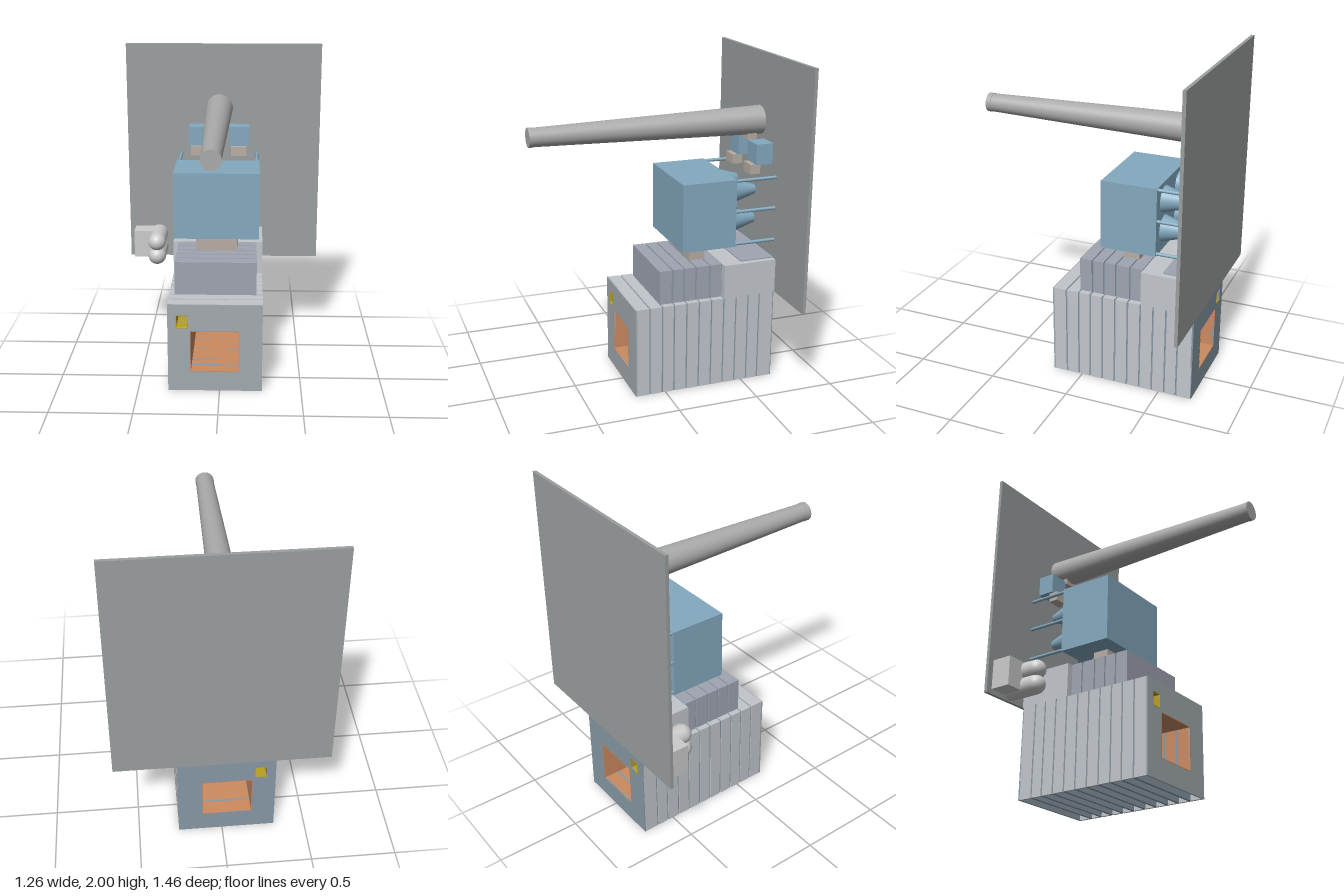
import * as THREE from 'three';

const mat = (color) => new THREE.MeshStandardMaterial({ color, side: THREE.DoubleSide });
const STEEL = mat(0xa3abb0), PALE = mat(0xc2c6cc), GROOVE = mat(0x8799a5), FIN = mat(0xa0a5b2);
const BLUE = mat(0x84a9bf), TAN = mat(0xb8aea4), PANEL = mat(0x9b9f9f), BARREL = mat(0xaaaaaa);
const COPPER = mat(0xcc8a60), YELLOW = mat(0xb8a022), WHITE = mat(0xcccccc);

export function createModel() {
  const root = new THREE.Group();
  const add = (name, geometry, material, x = 0, y = 0, z = 0) => {
    const mesh = new THREE.Mesh(geometry, material);
    mesh.name = name;
    mesh.position.set(x, y, z);
    root.add(mesh);
    return mesh;
  };
  // Box given by its limits on each axis
  const box = (name, material, x0, x1, y0, y1, z0, z1) =>
    add(name, new THREE.BoxGeometry(x1 - x0, y1 - y0, z1 - z0), material,
      (x0 + x1) / 2, (y0 + y1) / 2, (z0 + z1) / 2);
  // Round part lying along z
  const round = (name, material, rFront, rBack, x, y, z0, z1, sides = 32) =>
    add(name, new THREE.CylinderGeometry(rFront, rBack, z1 - z0, sides).rotateX(Math.PI / 2),
      material, x, y, (z0 + z1) / 2);
  const rect = (Type, x0, x1, y0, y1) => new Type([[x0, y0], [x1, y0], [x1, y1], [x0, y1]]
    .map(([x, y]) => new THREE.Vector2(x, y)));

  const L = -0.315, R = 0.26, MID = -0.028;
  const duct = [-0.175, 0.115, 0.13, 0.39], vent = [-0.26, -0.195, 0.415, 0.49];

  // Back panel
  box('backPanel', PANEL, -0.63, 0.63, 0.565, 2, -0.73, -0.71);

  // Lower housing: pierced plates joined by arched shells, open underneath
  const plate = (name, material, inset, z, depth) => {
    const shape = rect(THREE.Shape, L + inset, R - inset, 0, 0.565 - inset);
    shape.holes.push(rect(THREE.Path, ...duct), rect(THREE.Path, ...vent));
    add(name, new THREE.ExtrudeGeometry(shape, { depth, bevelEnabled: false }), material, 0, 0, z);
  };
  const cuts = [0.19, 0.1, 0.02, -0.055, -0.135, -0.215, -0.295, -0.375, -0.455, -0.535, -0.61, -0.705];
  const arch = new THREE.Shape([[L, 0], [L + 0.015, 0], [L + 0.015, 0.55], [R - 0.015, 0.55],
    [R - 0.015, 0], [R, 0], [R, 0.565], [L, 0.565]].map(([x, y]) => new THREE.Vector2(x, y)));
  for (let i = 0; i < cuts.length - 1; i++) {
    const depth = cuts[i] - cuts[i + 1] - 0.01;
    add('housingShell', new THREE.ExtrudeGeometry(arch, { depth, bevelEnabled: false }), PALE,
      0, 0, cuts[i + 1] + 0.005);
    if (i > 0) plate('housingRib', GROOVE, 0.006, cuts[i] - 0.008, 0.016);
  }
  plate('frontPlate', STEEL, 0, 0.18, 0.01);
  plate('rearPlate', GROOVE, 0, -0.705, 0.01);

  // Liners of the two passages
  const liner = (name, material, [x0, x1, y0, y1]) => {
    const shape = rect(THREE.Shape, x0 - 0.004, x1 + 0.004, y0 - 0.004, y1 + 0.004);
    shape.holes.push(rect(THREE.Path, x0, x1, y0, y1));
    add(name, new THREE.ExtrudeGeometry(shape, { depth: 0.896, bevelEnabled: false }), material, 0, 0, -0.7055);
  };
  liner('ductLiner', COPPER, duct);
  liner('ventLiner', YELLOW, vent);

  // Finned upper block and the solid block behind it
  box('finCore', GROOVE, -0.272, 0.214, 0.565, 0.768, -0.375, 0.015);
  const fins = [0.025, -0.055, -0.13, -0.205, -0.295, -0.375];
  for (let i = 0; i < 5; i++)
    box('coolingFin', FIN, -0.28, 0.222, 0.565, 0.775, fins[i + 1] + 0.005, fins[i] - (i ? 0.005 : 0));
  box('rearBlock', PALE, L, R, 0.565, 0.775, -0.71, -0.375);
  box('rearBlockCover', FIN, -0.28, 0.222, 0.775, 0.781, -0.71, -0.495);

  // Main box on its neck
  box('neck', TAN, -0.16, 0.102, 0.775, 0.88, -0.307, -0.205);
  box('mainBox', BLUE, -0.291, 0.235, 0.88, 1.296, -0.452, -0.113);

  // Tapered nozzles, tie rods and upper boxes, on both sides
  for (const s of [-1, 1]) {
    for (const y of [1.19, 1.008])
      round('nozzle', BLUE, 0.08, 0.03, MID + s * 0.129, y, -0.622, -0.452);
    for (const y of [1.285, 1.094, 0.893])
      round('tieRod', BLUE, 0.01, 0.01, MID + s * 0.247, y, -0.71, -0.452, 16);
    const c = MID + s * 0.13;
    box('upperBoxFoot', TAN, c - 0.05, c + 0.05, 1.296, 1.356, -0.637, -0.573);
    box('upperBox', BLUE, c - 0.064, c + 0.064, 1.355, 1.48, -0.71, -0.604);
  }

  // Tapered barrel and its support
  box('barrelSupport', TAN, -0.075, 0.02, 1.478, 1.515, -0.672, -0.61);
  round('barrel', BARREL, 0.055, 0.088, MID, 1.585, -0.71, 0.7, 48);
  round('barrelTip', BARREL, 0.057, 0.057, MID, 1.585, 0.7, 0.73, 48);

  // Side box with two round-ended tanks
  box('sideBox', WHITE, -0.592, -0.435, 0.595, 0.775, -0.71, -0.583);
  for (const y of [0.725, 0.63]) {
    round('sideTank', WHITE, 0.058, 0.058, -0.435, y, -0.71, -0.513);
    add('sideTankEnd', new THREE.SphereGeometry(0.058, 32, 12, 0, Math.PI * 2, 0, Math.PI / 2)
      .rotateX(Math.PI / 2), WHITE, -0.435, y, -0.513);
  }
  return root;
}
